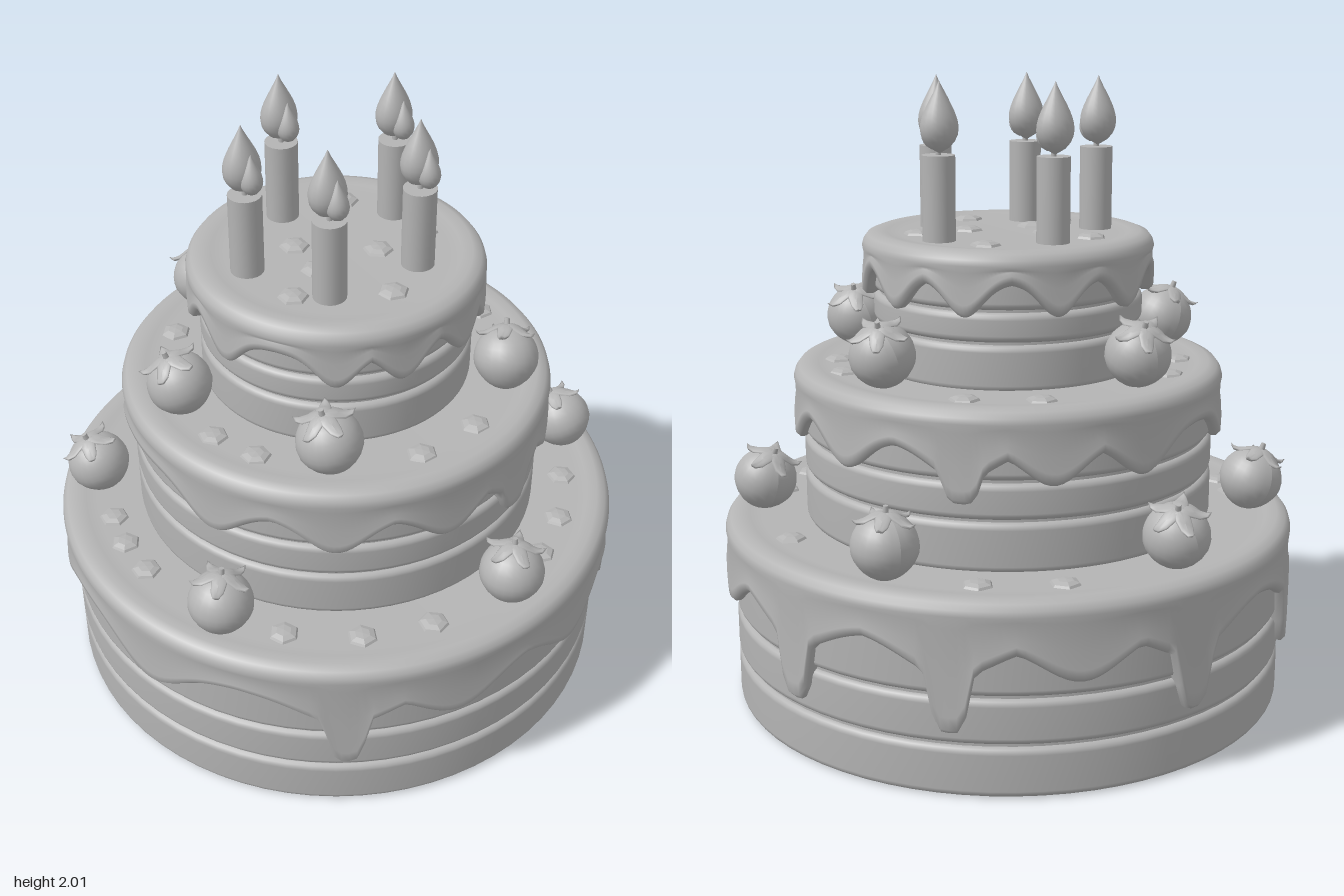
import * as THREE from 'three';
import { mergeVertices } from 'three/addons/utils/BufferGeometryUtils.js';

const clay = new THREE.MeshStandardMaterial({ color: 0xb4b4b4 });
clay.name = 'clay grey';

function part(parent, name, geometry, x = 0, y = 0, z = 0) {
  const mesh = new THREE.Mesh(geometry, clay);
  mesh.name = name;
  mesh.position.set(x, y, z);
  parent.add(mesh);
  return mesh;
}

const lathe = (pts, segments) =>
  new THREE.LatheGeometry(pts.map(([r, y]) => new THREE.Vector2(r, y)), segments);

// Angles run in degrees from the front (+z) towards +x
const around = (deg, r) => {
  const a = THREE.MathUtils.degToRad(deg);
  return [r * Math.sin(a), r * Math.cos(a)];
};

// Sponge disc with rounded rims
function spongeLayer(r, y0, y1) {
  const e = 0.022, pts = [[0, y0]];
  for (const [cy, start] of [[y0 + e, -Math.PI / 2], [y1 - e, 0]]) {
    for (let i = 0; i <= 4; i++) {
      const a = start + (i / 4) * Math.PI / 2;
      pts.push([r - e + e * Math.cos(a), cy + e * Math.sin(a)]);
    }
  }
  pts.push([0, y1]);
  return lathe(pts, 72);
}

// Lower icing edge at an angle: broad waves, and narrow long drips with wide shoulders
function dripEdge(deg, t) {
  let drop = 0;
  const dip = (at, low, width, power) => {
    const gap = Math.abs(((deg - at + 540) % 360) - 180) / width;
    drop = Math.max(drop, (t.base - low) * Math.exp(-Math.pow(gap, power)));
  };
  for (const at of t.waves) dip(at, t.waveLow, 10, 2);
  for (const at of t.longDrips) {
    dip(at, t.waveLow + 0.015, 11, 2);
    dip(at, t.longLow, 4.2 / t.R, 4);
  }
  return drop;
}

// Icing cap: a lathe whose lower rim is pulled down into drips
function icing(t) {
  const { R, r, top, base } = t;
  const pts = [ // radius, height, share of the drip movement
    [r - 0.03, base + 0.02, 1], [r + 0.002, base, 1], [R - 0.012, base, 1],
    [R + 0.001, base + 0.014, 1], [R + 0.002, base + 0.03, 0.92], [R - 0.005, base + 0.04, 0.55],
    [R - 0.004, top - 0.056, 0.1], [R, top - 0.045, 0], [R - 0.005, top - 0.027, 0],
    [R - 0.018, top - 0.01, 0], [R - 0.045, top, 0], [R - 0.08, top - 0.004, 0],
    [R - 0.12, top - 0.01, 0], [0, top - 0.01, 0],
  ];
  const g = lathe(pts, 240), p = g.attributes.position;
  for (let i = 0; i < p.count; i++) {
    const deg = Math.floor(i / pts.length) * 1.5;
    p.setY(i, p.getY(i) - dripEdge(deg, t) * pts[i % pts.length][2]);
  }
  g.deleteAttribute('normal');
  g.deleteAttribute('uv');
  const merged = mergeVertices(g, 1e-5);
  merged.computeVertexNormals();
  return merged;
}

// Faceted low bump on the icing
function bumpGeometry() {
  const g = new THREE.SphereGeometry(0.05, 6, 3, 0, Math.PI * 2, 0, Math.PI / 2)
    .scale(1, 0.36, 1).toNonIndexed();
  g.computeVertexNormals();
  return g;
}

// Berry body: a sphere that narrows towards its lower tip
function berryGeometry() {
  const g = new THREE.SphereGeometry(0.102, 24, 16), p = g.attributes.position;
  for (let i = 0; i < p.count; i++) {
    const k = 1 + 1.3 * Math.min(0, p.getY(i) + 0.02);
    p.setXYZ(i, p.getX(i) * k, p.getY(i), p.getZ(i) * k);
  }
  g.computeVertexNormals();
  return g;
}

// Leaf: a thin ellipsoid that follows the berry and curls up at its tip
function leafGeometry() {
  const g = new THREE.SphereGeometry(1, 10, 6).scale(0.052, 0.007, 0.027);
  const p = g.attributes.position;
  for (let i = 0; i < p.count; i++) {
    const x = p.getX(i) + 0.048, t = x / 0.1;
    p.setXYZ(i, x, p.getY(i) + 0.103 - 0.075 * t * t + 0.06 * t ** 5, p.getZ(i) * (1.15 - 0.6 * t));
  }
  g.computeVertexNormals();
  return g;
}

// Teardrop for flames: round below, drawn to a point above
function flame(r, h) {
  const pts = [];
  for (let i = 0; i <= 12; i++) {
    const u = i / 12;
    pts.push([r * 1.02 * Math.sin(Math.PI * u ** 0.65) ** 1.15, h * u]);
  }
  return lathe(pts, 18);
}

const bump = bumpGeometry(), fruit = berryGeometry(), leaf = leafGeometry();

// Berry with a leaf crown, leaning a little differently at each place
function berry(parent, x, y, z, deg) {
  const g = new THREE.Group();
  g.name = 'berry';
  part(g, 'berryFruit', fruit);
  for (let i = 0; i < 5; i++) part(g, 'berryLeaf', leaf).rotation.y = i * Math.PI * 0.4 + x * 9;
  part(g, 'berryStem', new THREE.CylinderGeometry(0.008, 0.011, 0.03, 8), 0, 0.11, 0);
  g.position.set(x, y, z);
  g.rotation.set(-0.3 * Math.cos(deg), 0, 0.25 + 0.2 * Math.sin(deg));
  parent.add(g);
}

function candle(parent, x, z) {
  const g = new THREE.Group(), r = 0.052, h = 0.265;
  g.name = 'candle';
  part(g, 'candleStick', new THREE.CylinderGeometry(r, r, h, 20), 0, h / 2, 0);
  part(g, 'wick', new THREE.CylinderGeometry(0.009, 0.009, 0.04, 8), 0, h + 0.01, 0);
  part(g, 'outerFlame', flame(0.06, 0.22), -0.008, h + 0.005, 0).scale.x = 0.85;
  part(g, 'innerFlame', flame(0.034, 0.135), 0.036, h + 0.012, 0);
  g.position.set(x, 1.515, z);
  parent.add(g);
}

// Bump rings are a radius followed by angles
const tiers = [
  { name: 'bottomTier', R: 0.932, r: 0.903, top: 0.616, base: 0.485,
    layers: [[0, 0.158], [0.166, 0.308], [0.316, 0.56]],
    waveLow: 0.365, waves: [11, 74, 105, 165, 252, 330],
    longLow: 0.21, longDrips: [52, 136, 195, 228, 275, 314],
    bumpRings: [[0.77, 38, 56, 73, 109, 123, 139, 177, 232, 251, 337, 347, 358]],
    berryRadius: 0.8, berries: [24, 93, 153, 212, 277, 324] },
  { name: 'middleTier', R: 0.695, r: 0.665, top: 1.108, base: 0.985,
    layers: [[0.6, 0.757], [0.764, 0.877], [0.885, 1.06]],
    waveLow: 0.875, waves: [17, 50, 80, 127, 160, 193, 250, 275, 318],
    longLow: 0.82, longDrips: [104, 227],
    bumpRings: [[0.55, 7, 24, 78, 101, 150, 169, 225, 249, 305, 327]],
    berryRadius: 0.55, berries: [48, 126, 195, 284, 349] },
  { name: 'topTier', R: 0.467, r: 0.432, top: 1.526, base: 1.428,
    layers: [[1.09, 1.236], [1.243, 1.335], [1.342, 1.48]],
    waveLow: 1.325, waves: [4, 50, 76, 107, 130, 155, 190, 222, 258, 292, 330],
    longLow: 1.3, longDrips: [],
    bumpRings: [[0.29, 24, 86, 160, 225, 302], [0.13, 22, 139, 313]],
    berryRadius: 0, berries: [] },
];

export function createModel() {
  const cake = new THREE.Group();
  cake.name = 'tieredCake';

  for (const t of tiers) {
    const tier = new THREE.Group();
    tier.name = t.name;
    cake.add(tier);
    for (const [y0, y1] of t.layers) part(tier, 'spongeLayer', spongeLayer(t.r, y0, y1));
    // Filling set back between the layers
    const low = t.layers[0][0] + 0.05, high = t.layers[2][0] + 0.05;
    part(tier, 'filling', new THREE.CylinderGeometry(t.r - 0.018, t.r - 0.018, high - low, 72), 0, (low + high) / 2, 0);
    part(tier, 'dripIcing', icing(t));
    for (const [radius, ...angles] of t.bumpRings) {
      for (const deg of angles) {
        const [x, z] = around(deg, radius);
        part(tier, 'icingBump', bump, x, t.top - 0.012, z).rotation.y = deg;
      }
    }
    for (const deg of t.berries) {
      const [x, z] = around(deg, t.berryRadius);
      berry(tier, x, t.top + 0.092, z, deg);
    }
  }

  for (const [x, z] of [[-0.05, -0.28], [0.22, -0.14], [-0.265, 0], [0.185, 0.18], [-0.085, 0.28]])
    candle(cake, x, z);
  return cake;
}
